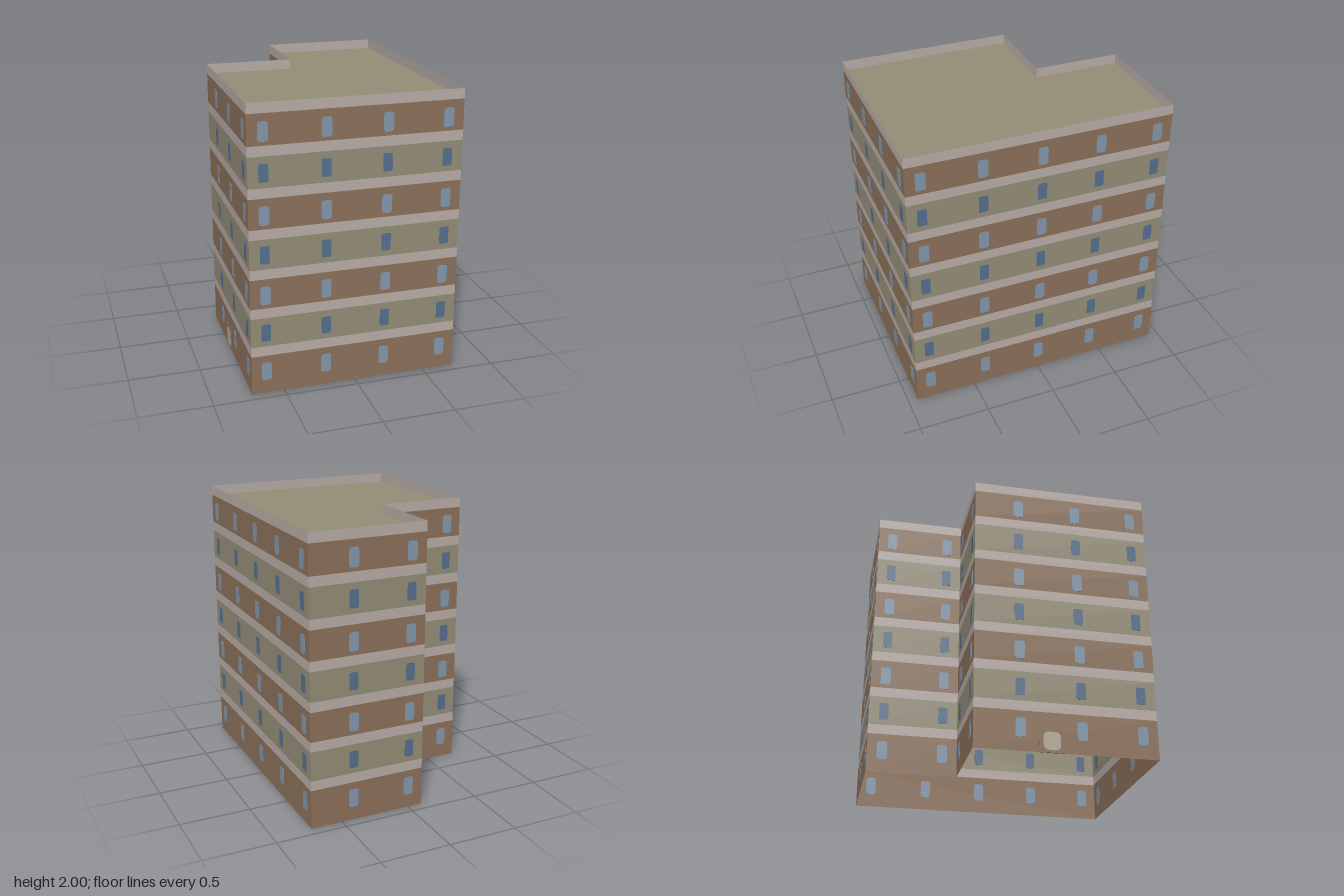
import * as THREE from 'three';

const U = 2 / 7.25 * 0.75; // one wall module
const FLOOR = 2 / 7.25;    // storey height
const BAND = FLOOR / 4;    // height of the pale band

const material = (name, color) =>
  new THREE.MeshStandardMaterial({ name, color, side: THREE.DoubleSide });

// L-shaped outline [x, z] in modules, counter-clockwise from above, starting at the front
const outline = [[-3.5, 4.5], [3.5, 4.5], [3.5, -4.5], [-0.5, -4.5], [-0.5, -1.5], [-3.5, -1.5]];

// Thin rounded plate that shows on both sides of the wall
function roundedPlate(w, h, r, depth) {
  const x = w / 2, y = h / 2;
  const s = new THREE.Shape();
  s.moveTo(-x + r, -y);
  s.lineTo(x - r, -y);
  s.quadraticCurveTo(x, -y, x, -y + r);
  s.lineTo(x, y - r);
  s.quadraticCurveTo(x, y, x - r, y);
  s.lineTo(-x + r, y);
  s.quadraticCurveTo(-x, y, -x, y - r);
  s.lineTo(-x, -y + r);
  s.quadraticCurveTo(-x, -y, -x + r, -y);
  return new THREE.ExtrudeGeometry(s, { depth, bevelEnabled: false, curveSegments: 3 })
    .translate(0, 0, -depth / 2);
}

export function createModel() {
  const model = new THREE.Group();
  model.name = 'apartmentBuilding';
  const brick = material('brownBrick', 0x8d715a);
  const olive = material('olivePlaster', 0x958e78);
  const stone = material('paleStone', 0xb9ada8);
  const lightGlass = material('lightGlass', 0x8298ae);
  const darkGlass = material('darkGlass', 0x56708f);
  const doorPanel = material('doorPanel', 0xb5aa9a);

  const lightWindow = roundedPlate(0.07, 0.13, 0.02, 0.004);
  const darkWindow = roundedPlate(0.064, 0.122, 0.012, 0.004);

  const add = (parent, name, geometry, mat, x, y, z = 0) => {
    const mesh = new THREE.Mesh(geometry, mat);
    mesh.name = name;
    mesh.position.set(x, y, z);
    parent.add(mesh);
    return mesh;
  };

  // One group per wall; local x runs along the wall and local z points outward
  outline.forEach(([ax, az], i) => {
    const [bx, bz] = outline[(i + 1) % outline.length];
    const modules = Math.hypot(bx - ax, bz - az);
    const length = modules * U;
    const wall = new THREE.Group();
    wall.name = `wall${i + 1}`;
    wall.position.set(ax * U, 0, az * U);
    wall.rotation.y = Math.atan2(-(bz - az), bx - ax);
    model.add(wall);

    const strip = (name, y0, y1, mat) =>
      add(wall, name, new THREE.PlaneGeometry(length, y1 - y0), mat, length / 2, (y0 + y1) / 2);

    for (let f = 0; f < 7; f++) {
      const base = f * FLOOR, even = f % 2 === 0;
      strip('storeyWall', f ? base + BAND : 0, base + FLOOR, even ? brick : olive);
      strip(f === 6 ? 'parapet' : 'stoneBand', base + FLOOR, base + FLOOR + BAND, stone);
      // Windows on every second module
      for (let m = modules - 0.5; m > 0; m -= 2) {
        add(wall, 'window', even ? lightWindow : darkWindow, even ? lightGlass : darkGlass,
          m * U, base + (even ? 0.16 : 0.168));
      }
    }

    // Entrance on the long wall beside the notch
    if (i === 5) {
      add(wall, 'doorFrame', new THREE.BoxGeometry(0.165, 0.165, 0.006), brick, 2.5 * U, 0.0825);
      add(wall, 'door', roundedPlate(0.115, 0.125, 0.035, 0.009), doorPanel, 2.5 * U, 0.08);
    }
  });

  // Flat roof sunk behind the parapet
  const roofShape = new THREE.Shape(outline.map(([x, z]) => new THREE.Vector2(x * U, -z * U)));
  add(model, 'roof', new THREE.ShapeGeometry(roofShape).rotateX(-Math.PI / 2), olive, 0, 7 * FLOOR);

  return model;
}
